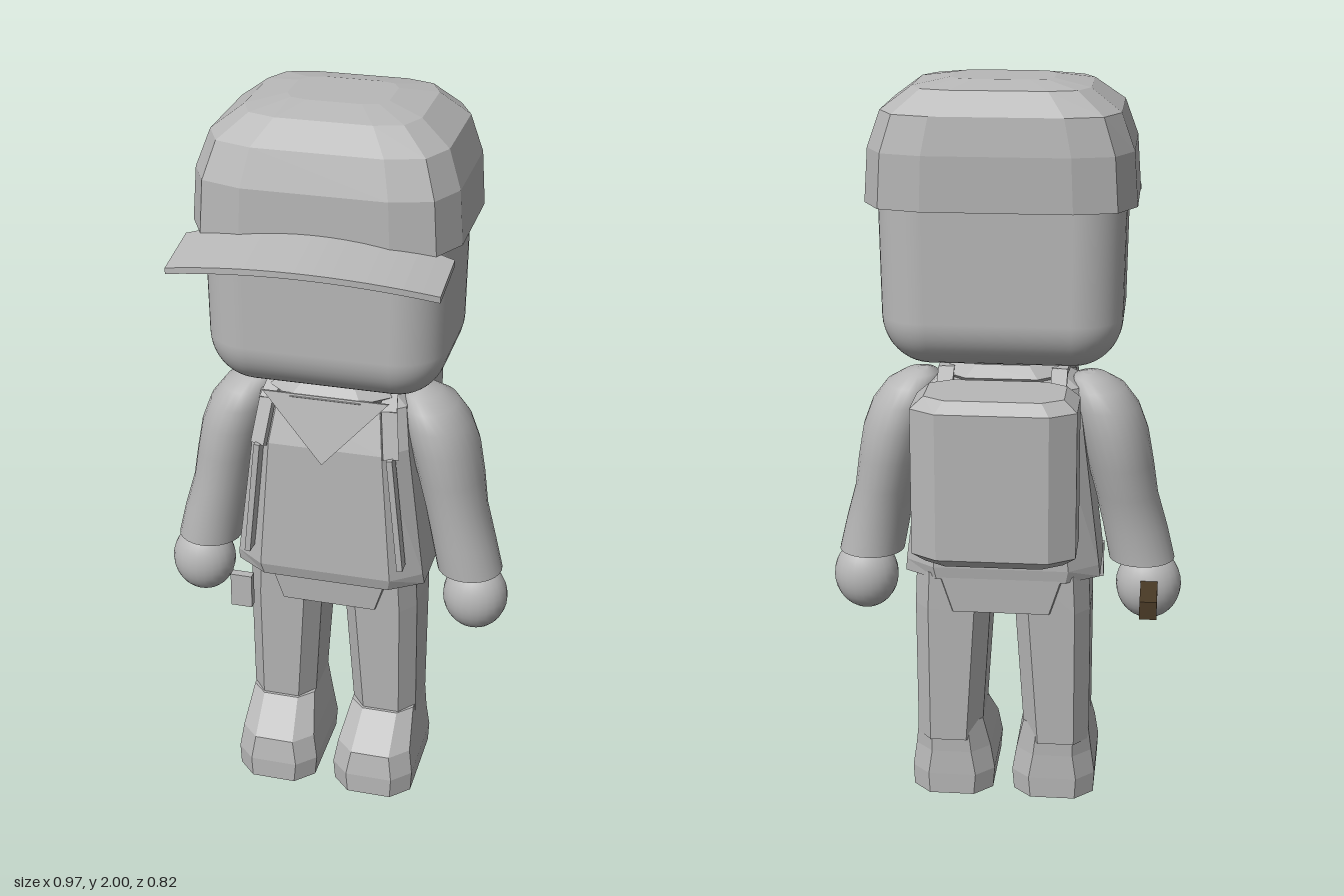
import * as THREE from 'three';
import { RoundedBoxGeometry } from 'three/addons/geometries/RoundedBoxGeometry.js';

// Skin a stack of rings (bottom to top), closing both ends with flat caps.
function loft(rings, smooth = false) {
  const n = rings[0].length;
  const pos = rings.flat(2);
  const index = [];
  for (let i = 0; i < rings.length - 1; i++) {
    for (let j = 0; j < n; j++) {
      const a = i * n + j, b = i * n + (j + 1) % n;
      index.push(a, a + n, b + n, a, b + n, b);
    }
  }
  for (const top of [false, true]) {
    const ring = top ? rings[rings.length - 1] : rings[0];
    const start = pos.length / 3;
    pos.push(...ring.flat());
    for (let j = 1; j < n - 1; j++) {
      if (top) index.push(start, start + j + 1, start + j);
      else index.push(start, start + j, start + j + 1);
    }
  }
  let geo = new THREE.BufferGeometry();
  geo.setAttribute('position', new THREE.Float32BufferAttribute(pos, 3));
  geo.setIndex(index);
  if (!smooth) geo = geo.toNonIndexed();
  geo.computeVertexNormals();
  return geo;
}

// Rectangle with cut corners; z runs from back to front, ax and az are the cuts.
function octagon(y, cx, hx, back, front, ax, az) {
  const half = [[hx, front - az], [hx - ax, front], [ax - hx, front], [-hx, front - az],
    [-hx, back + az], [ax - hx, back], [hx - ax, back], [hx, back + az]];
  return half.map(([x, z]) => [cx + x, y, z]);
}

// Twelve-sided outline used by the cap.
function capRing(y, hx, back, front) {
  const cz = (front + back) / 2, hz = (front - back) / 2;
  const q = [[1, 0.54], [0.865, 0.88], [0.55, 1]];
  const unit = [...q, ...q.map(([x, z]) => [-x, z]).reverse(),
    ...q.map(([x, z]) => [-x, -z]), ...q.map(([x, z]) => [x, -z]).reverse()];
  return unit.map(([x, z]) => [x * hx, y, cz + z * hz]);
}

function ellipse(y, cx, cz, rx, rz, n = 24) {
  return Array.from({ length: n }, (_, i) => {
    const t = (i / n) * Math.PI * 2;
    return [cx + rx * Math.cos(t), y, cz + rz * Math.sin(t)];
  });
}

export function createModel() {
  const model = new THREE.Group();
  model.name = 'figure';
  const grey = new THREE.MeshStandardMaterial({ color: 0xb8b8b8 });
  grey.name = 'plain grey';
  const brown = new THREE.MeshStandardMaterial({ color: 0x4a3a26 });
  brown.name = 'dark brown';

  const add = (name, geo, mat = grey, parent = model) => {
    const mesh = new THREE.Mesh(geo, mat);
    mesh.name = name;
    parent.add(mesh);
    return mesh;
  };

  // Head, slightly narrower toward the chin
  const headGeo = new RoundedBoxGeometry(0.64, 0.6, 0.47, 6, 0.13);
  const hp = headGeo.attributes.position;
  for (let i = 0; i < hp.count; i++) {
    const k = 1 + 0.06 * Math.min(0, hp.getY(i) - 0.1);
    hp.setX(i, hp.getX(i) * k);
    hp.setZ(i, hp.getZ(i) * k);
  }
  add('head', headGeo).position.set(0, 1.56, -0.013);

  // Cap crown
  add('capCrown', loft([
    capRing(1.69, 0.347, -0.293, 0.238),
    capRing(1.83, 0.337, -0.297, 0.236),
    capRing(1.925, 0.303, -0.287, 0.205),
    capRing(1.983, 0.225, -0.24, 0.14),
    capRing(2.0, 0.13, -0.15, 0.04),
  ]));

  // Cap brim: a plate arched across and curved along its front edge
  let brim = new THREE.BoxGeometry(0.686, 0.016, 1, 16, 1, 1);
  const bp = brim.attributes.position;
  for (let i = 0; i < bp.count; i++) {
    const x = bp.getX(i), arch = 0.055 * (x / 0.343) ** 2;
    const z = bp.getZ(i) > 0 ? 0.41 - arch : 0.19;
    bp.setZ(i, z);
    bp.setY(i, bp.getY(i) + 1.727 - 0.16 * (z - 0.19) - arch);
  }
  brim = brim.toNonIndexed();
  brim.computeVertexNormals();
  add('capBrim', brim);

  // Neck and neckerchief
  add('neck', loft([ellipse(1.18, 0, -0.01, 0.1, 0.09), ellipse(1.3, 0, -0.01, 0.1, 0.09)], true));
  add('neckerchiefRoll', loft([
    octagon(1.2, 0, 0.15, -0.13, 0.11, 0.07, 0.06),
    octagon(1.225, 0, 0.165, -0.15, 0.135, 0.07, 0.06),
    octagon(1.255, 0, 0.13, -0.12, 0.1, 0.06, 0.05),
  ]));
  const flap = new THREE.Shape([[-0.17, 0], [0, -0.185], [0.17, 0]].map(p => new THREE.Vector2(...p)));
  const flapMesh = add('neckerchiefFlap', new THREE.ExtrudeGeometry(flap, { depth: 0.01, bevelEnabled: false }));
  flapMesh.position.set(0, 1.23, 0.122);
  flapMesh.rotation.x = -0.22;

  // Torso and hips
  add('torso', loft([
    octagon(0.665, 0, 0.265, -0.175, 0.135, 0.09, 0.06),
    octagon(0.7, 0, 0.262, -0.18, 0.145, 0.08, 0.06),
    octagon(1.08, 0, 0.215, -0.175, 0.14, 0.06, 0.06),
    octagon(1.19, 0, 0.2, -0.15, 0.1, 0.06, 0.05),
    octagon(1.225, 0, 0.15, -0.11, 0.06, 0.05, 0.04),
  ]));
  add('hips', loft([
    octagon(0.57, 0, 0.14, -0.172, 0.1, 0.01, 0.02),
    octagon(0.68, 0, 0.175, -0.176, 0.108, 0.01, 0.02),
  ]));

  // Backpack
  add('backpack', loft([
    octagon(0.79, 0, 0.178, -0.39, -0.2, 0.055, 0.035),
    octagon(0.815, 0, 0.212, -0.415, -0.18, 0.068, 0.045),
    octagon(1.205, 0, 0.212, -0.415, -0.18, 0.068, 0.045),
    octagon(1.235, 0, 0.178, -0.39, -0.2, 0.055, 0.035),
  ]));

  for (const s of [1, -1]) {
    const side = new THREE.Group();
    side.name = s > 0 ? 'leftSide' : 'rightSide';
    model.add(side);

    // Backpack strap over the shoulder
    const path = [[0.213, 0.75, 0.142], [0.18, 1.08, 0.143], [0.165, 1.195, 0.103],
      [0.155, 1.23, 0.05], [0.15, 1.235, -0.1], [0.15, 1.17, -0.19]]
      .map(([x, y, z]) => new THREE.Vector3(s * x, y, z));
    for (let i = 0; i < path.length - 1; i++) {
      const length = path[i].distanceTo(path[i + 1]) + 0.006;
      const strap = add('strap', new THREE.BoxGeometry(0.042, 0.016, length), grey, side);
      strap.position.copy(path[i]).lerp(path[i + 1], 0.5);
      strap.lookAt(path[i + 1]);
    }

    // Sleeve and hand
    add('arm', loft([
      ellipse(0.688, s * 0.375, -0.01, 0.09, 0.09),
      ellipse(0.78, s * 0.355, -0.01, 0.088, 0.092),
      ellipse(0.88, s * 0.33, -0.018, 0.085, 0.1),
      ellipse(0.97, s * 0.312, -0.025, 0.09, 0.115),
      ellipse(1.06, s * 0.292, -0.027, 0.094, 0.122),
      ellipse(1.13, s * 0.27, -0.027, 0.09, 0.117),
      ellipse(1.18, s * 0.248, -0.027, 0.074, 0.1),
      ellipse(1.207, s * 0.23, -0.027, 0.046, 0.065),
      ellipse(1.215, s * 0.225, -0.027, 0.015, 0.02),
    ], true), grey, side);
    const hand = add('hand', new THREE.SphereGeometry(1, 24, 16), grey, side);
    hand.scale.set(0.09, 0.1, 0.08);
    hand.position.set(s * 0.395, 0.605, 0);

    // Leg and shoe
    add('leg', loft([
      octagon(0.17, s * 0.15, 0.09, -0.15, 0.08, 0.04, 0.05),
      octagon(0.57, s * 0.137, 0.103, -0.165, 0.095, 0.04, 0.05),
      octagon(0.68, s * 0.135, 0.1, -0.168, 0.1, 0.04, 0.05),
    ]), grey, side);
    add('shoe', loft([
      octagon(0, s * 0.142, 0.112, -0.145, 0.197, 0.05, 0.05),
      octagon(0.06, s * 0.141, 0.116, -0.145, 0.197, 0.05, 0.05),
      octagon(0.13, s * 0.142, 0.105, -0.143, 0.185, 0.05, 0.05),
      octagon(0.22, s * 0.147, 0.09, -0.145, 0.09, 0.04, 0.04),
    ]), grey, side);
  }

  // Belt tag and tool handle by the right hand
  add('beltTag', new THREE.BoxGeometry(0.06, 0.1, 0.024)).position.set(-0.235, 0.612, 0.15);
  add('toolHandle', new THREE.BoxGeometry(0.046, 0.05, 0.19), brown).position.set(-0.398, 0.613, -0.125);

  return model;
}
